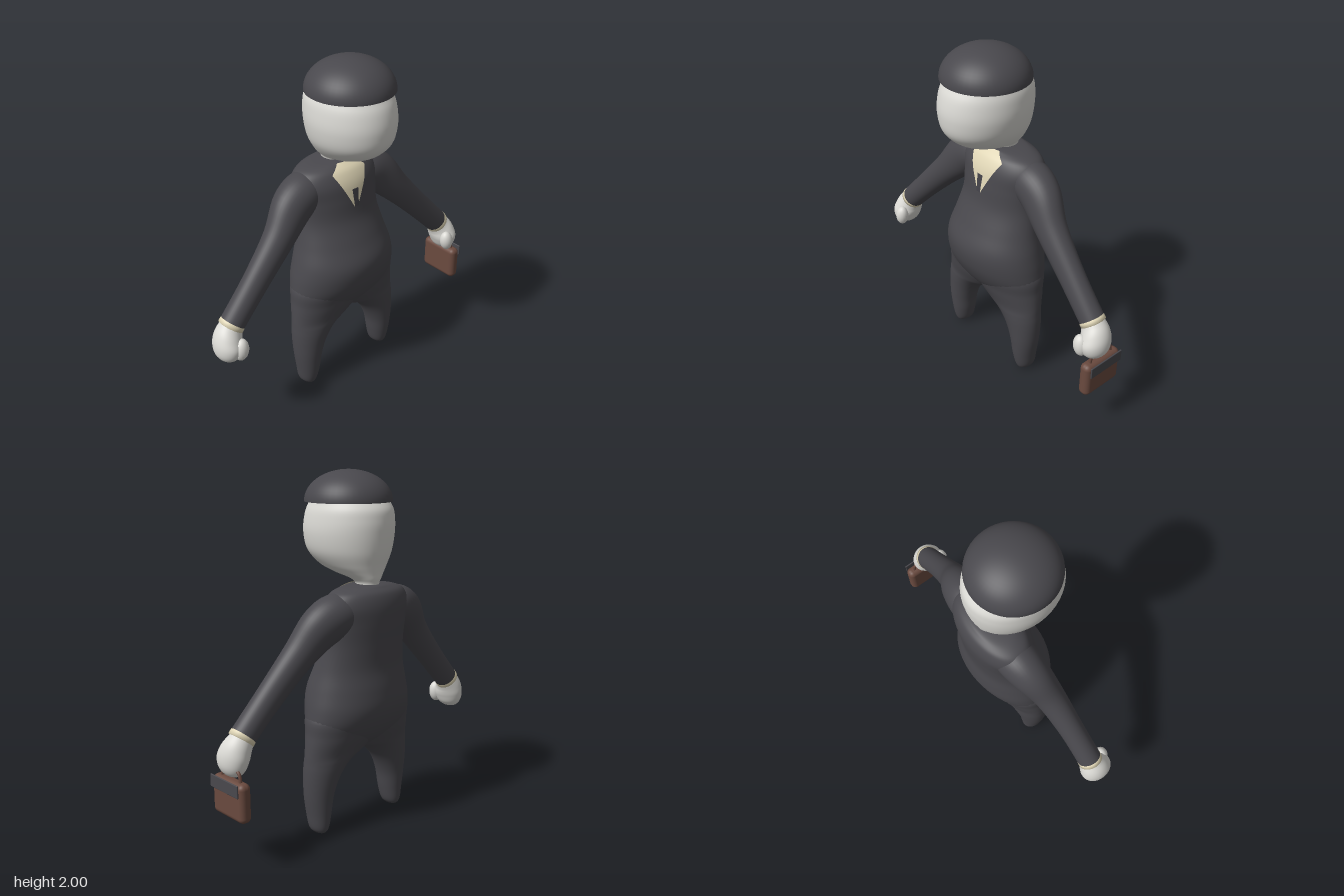
import * as THREE from 'three';
import { RoundedBoxGeometry } from 'three/addons/geometries/RoundedBoxGeometry.js';

const mat = (name, color, side = THREE.FrontSide) => {
  const m = new THREE.MeshStandardMaterial({ color, side });
  m.name = name;
  return m;
};

// Smoothly subdivide a list of rings [x, y, z, radius, depthRadius]
function refine(rings, steps = 6) {
  const out = [], n = rings.length;
  for (let i = 0; i < n - 1; i++) {
    const p0 = rings[Math.max(i - 1, 0)], p1 = rings[i], p2 = rings[i + 1], p3 = rings[Math.min(i + 2, n - 1)];
    for (let s = 0; s < steps; s++) {
      const t = s / steps;
      out.push(p1.map((_, k) => {
        const v = 0.5 * (2 * p1[k] + (p2[k] - p0[k]) * t + (2 * p0[k] - 5 * p1[k] + 4 * p2[k] - p3[k]) * t * t
          + (3 * p1[k] - p0[k] - 3 * p2[k] + p3[k]) * t * t * t);
        return k > 2 ? Math.max(v, 0) : v;
      }));
    }
  }
  out.push(rings[n - 1]);
  return out;
}

// Skin elliptical rings; level rings stay horizontal, others follow the path in the xy plane
function loft(rings, level = false, seg = 40) {
  const pos = [], idx = [], n = rings.length;
  rings.forEach(([x, y, z, r, d], i) => {
    const a = rings[Math.max(i - 1, 0)], b = rings[Math.min(i + 1, n - 1)];
    let tx = b[0] - a[0], ty = b[1] - a[1];
    const len = Math.hypot(tx, ty) || 1;
    if (level) { tx = 0; ty = 1; } else { tx /= len; ty /= len; }
    for (let j = 0; j < seg; j++) {
      const c = Math.cos(j / seg * Math.PI * 2) * r, s = Math.sin(j / seg * Math.PI * 2) * d;
      pos.push(x + ty * c, y - tx * c, z + s);
      if (i < n - 1) {
        const p = i * seg + j, q = i * seg + (j + 1) % seg;
        idx.push(p, p + seg, q, q, p + seg, q + seg);
      }
    }
  });
  const g = new THREE.BufferGeometry();
  g.setAttribute('position', new THREE.Float32BufferAttribute(pos, 3));
  g.setIndex(idx);
  g.computeVertexNormals();
  return g;
}

// Ring from its extents: height, x range, z range
const band = ([y, x0, x1, zb, zf]) => [(x0 + x1) / 2, y, (zb + zf) / 2, (x1 - x0) / 2, (zf - zb) / 2];

export function createModel() {
  const group = new THREE.Group();
  const suit = mat('charcoal suit', 0x49484d);
  const skin = mat('pale skin', 0xdbdad5);
  const cream = mat('cream shirt', 0xe0d6b6, THREE.DoubleSide);
  const tieMat = mat('dark tie', 0x434248, THREE.DoubleSide);
  const brown = mat('brown leather', 0x6a4a3f);
  const add = (name, geo, material, parent = group) => {
    const m = new THREE.Mesh(geo, material);
    m.name = name;
    parent.add(m);
    return m;
  };

  // Torso: [y, half width, back, front]
  const torso = refine([
    [0.45, 0, -0.05, -0.05], [0.48, 0.17, -0.13, 0.03], [0.54, 0.28, -0.20, 0.085], [0.62, 0.345, -0.25, 0.135],
    [0.72, 0.343, -0.28, 0.172], [0.83, 0.32, -0.278, 0.178], [0.95, 0.287, -0.265, 0.13], [1.08, 0.265, -0.272, 0.078],
    [1.2, 0.272, -0.282, 0.06], [1.29, 0.285, -0.282, 0.045], [1.355, 0.25, -0.265, 0.015],
    [1.385, 0.18, -0.235, -0.018], [1.398, 0.08, -0.205, -0.045], [1.402, 0, -0.125, -0.125],
  ].map(([y, w, b, f]) => band([y, -w, w, b, f])));
  add('torso', loft(torso, true, 56), suit);

  // Depth of the torso front at a point
  const frontZ = (x, y) => {
    let i = torso.findIndex(r => r[1] > y);
    if (i < 1) i = torso.length - 1;
    const a = torso[i - 1], b = torso[i], t = (y - a[1]) / (b[1] - a[1]);
    const [, , z, r, d] = a.map((v, k) => v + (b[k] - v) * t);
    return z + d * Math.sqrt(Math.max(0, 1 - (x / r) ** 2));
  };
  // Thin panel hugging the chest, from [y, half width] pairs
  const panel = (outline, lift) => {
    const rows = 24, cols = 12, g = new THREE.PlaneGeometry(1, 1, cols, rows), p = g.attributes.position;
    const y0 = outline[0][0], y1 = outline[outline.length - 1][0];
    for (let i = 0; i < p.count; i++) {
      const y = y0 + (p.getY(i) + 0.5) * (y1 - y0);
      let k = 1;
      while (k < outline.length - 1 && outline[k][0] < y) k++;
      const [ya, wa] = outline[k - 1], [yb, wb] = outline[k];
      const x = 2 * p.getX(i) * (wa + (wb - wa) * (y - ya) / (yb - ya));
      p.setXYZ(i, x, y + lift * 0.5, frontZ(x, y) + lift);
    }
    g.computeVertexNormals();
    return g;
  };
  add('shirtFront', panel([[1.155, 0.012], [1.357, 0.117], [1.394, 0.05]], 0.006), cream);
  add('tie', panel([[1.155, 0.014], [1.26, 0.021]], 0.01), tieMat);

  // Head with a forward face and a narrow neck: [y, half width, back, front]
  add('head', loft(refine([
    [1.37, 0.06, -0.195, -0.06], [1.405, 0.06, -0.2, -0.055], [1.43, 0.08, -0.208, -0.01], [1.46, 0.122, -0.213, 0.105],
    [1.5, 0.165, -0.222, 0.2], [1.57, 0.209, -0.24, 0.268], [1.66, 0.229, -0.252, 0.287], [1.74, 0.228, -0.254, 0.28],
    [1.81, 0.213, -0.238, 0.255], [1.87, 0.17, -0.17, 0.2], [1.9, 0, 0.02, 0.02],
  ].map(([y, w, b, f]) => band([y, -w, w, b, f]))), true, 48), skin);

  // Domed cap with a flat underside
  const cap = new THREE.Group();
  cap.name = 'cap';
  cap.position.set(0, 1.83, 0.018);
  cap.scale.set(0.24, 0.17, 0.243);
  group.add(cap);
  add('capDome', new THREE.SphereGeometry(1, 48, 16, 0, Math.PI * 2, 0, Math.PI / 2), suit, cap);
  add('capUnderside', new THREE.CircleGeometry(1, 48).rotateX(Math.PI / 2), suit, cap);

  for (const [side, s] of [['left', 1], ['right', -1]]) {
    const flip = rings => rings.map(([x, ...rest]) => [s * x, ...rest]);

    // Leg: [y, inner x, outer x, back, front]
    add(side + 'Leg', loft(refine(flip([
      [0, 0.29, 0.29, -0.045, -0.045], [0.008, 0.262, 0.318, -0.09, 0], [0.04, 0.237, 0.343, -0.108, 0.02],
      [0.12, 0.218, 0.356, -0.116, 0.036], [0.22, 0.2, 0.369, -0.125, 0.046], [0.31, 0.165, 0.374, -0.138, 0.053],
      [0.38, 0.115, 0.374, -0.15, 0.06], [0.43, 0.05, 0.371, -0.16, 0.066], [0.48, -0.05, 0.368, -0.175, 0.075],
      [0.58, -0.16, 0.358, -0.215, 0.105], [0.7, -0.2, 0.338, -0.235, 0.125], [0.8, 0.05, 0.2, -0.1, 0],
    ].map(band))), true), suit);

    // Sleeve, cuff and hand
    add(side + 'Sleeve', loft(refine(flip([
      [0.1, 1.27, -0.125, 0.07, 0.09], [0.2, 1.258, -0.12, 0.115, 0.115], [0.31, 1.2, -0.105, 0.122, 0.108],
      [0.44, 1.062, -0.07, 0.092, 0.084], [0.62, 0.875, -0.05, 0.077, 0.07], [0.792, 0.695, -0.04, 0.071, 0.069],
    ]))), suit);
    add(side + 'Cuff', loft(flip([
      [0.782, 0.706, -0.04, 0.069, 0.067], [0.79, 0.697, -0.04, 0.073, 0.071], [0.803, 0.682, -0.04, 0.073, 0.071],
      [0.806, 0.678, -0.04, 0.05, 0.05],
    ])), cream);
    add(side + 'Hand', loft(refine(flip([
      [0.785, 0.7, -0.04, 0.06, 0.06], [0.806, 0.672, -0.038, 0.069, 0.07], [0.828, 0.635, -0.03, 0.077, 0.085],
      [0.842, 0.59, -0.022, 0.077, 0.095], [0.85, 0.54, -0.022, 0.064, 0.082], [0.855, 0.507, -0.026, 0.036, 0.05],
      [0.857, 0.495, -0.03, 0, 0],
    ]))), skin);
    const thumb = add(side + 'Thumb', new THREE.SphereGeometry(1, 20, 14), skin);
    thumb.scale.set(0.042, 0.065, 0.04);
    thumb.position.set(s * 0.805, 0.58, 0.05);
    thumb.rotation.z = s * 0.15;
  }

  // Briefcase hanging from the left hand
  const bag = new THREE.Group();
  bag.name = 'briefcase';
  bag.position.set(0.87, 0.388, -0.04);
  group.add(bag);
  add('caseBody', new RoundedBoxGeometry(0.07, 0.212, 0.256, 4, 0.03), brown, bag);
  add('caseFlap', new RoundedBoxGeometry(0.009, 0.07, 0.232, 2, 0.004), suit, bag).position.set(0.046, 0.077, 0);
  const handlePath = new THREE.CatmullRomCurve3([[0.09, -0.08], [0.15, -0.065], [0.168, 0], [0.15, 0.065], [0.09, 0.08]]
    .map(([y, z]) => new THREE.Vector3(0, y, z)));
  add('caseHandle', new THREE.TubeGeometry(handlePath, 24, 0.009, 8), brown, bag);

  return group;
}
